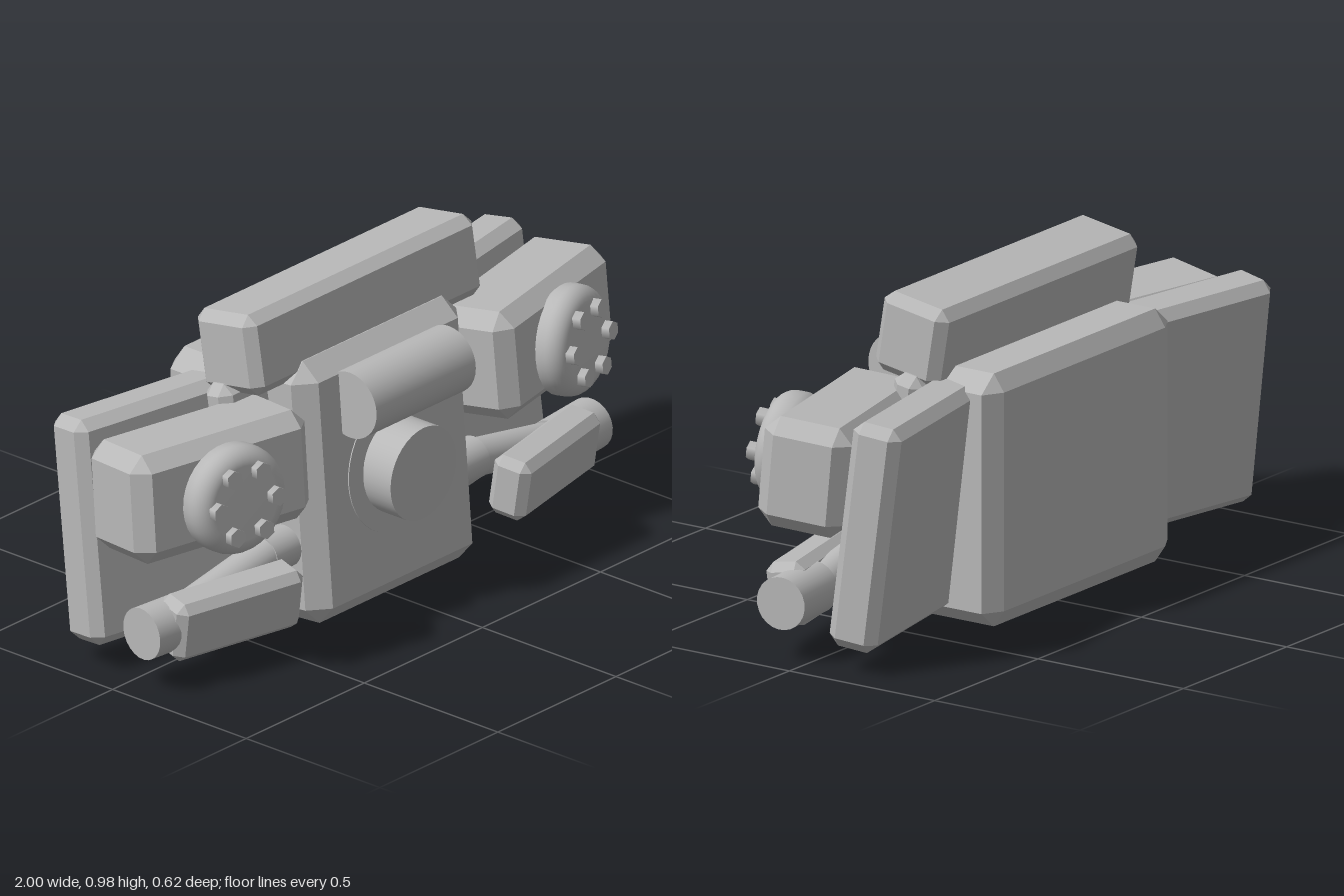
import * as THREE from 'three';
import { ConvexGeometry } from 'three/addons/geometries/ConvexGeometry.js';

const grey = new THREE.MeshStandardMaterial({ color: 0xb8b8b8 });
grey.name = 'plain grey';
const rad = THREE.MathUtils.degToRad;

// Box with every edge and corner cut; bevel can differ per axis
function chamferBox(w, h, d, bx, by = bx, bz = bx) {
  const pts = [];
  for (const x of [-1, 1]) for (const y of [-1, 1]) for (const z of [-1, 1]) {
    const X = w / 2, Y = h / 2, Z = d / 2;
    pts.push(
      new THREE.Vector3(x * X, y * (Y - by), z * (Z - bz)),
      new THREE.Vector3(x * (X - bx), y * Y, z * (Z - bz)),
      new THREE.Vector3(x * (X - bx), y * (Y - by), z * Z));
  }
  return new ConvexGeometry(pts);
}

function add(parent, name, geometry, x = 0, y = 0, z = 0, pitch = 0, yaw = 0) {
  const mesh = new THREE.Mesh(geometry, grey);
  mesh.name = name;
  mesh.position.set(x, y, z);
  mesh.rotation.set(rad(pitch), rad(yaw), 0, 'YXZ');
  parent.add(mesh);
  return mesh;
}

// Cylinder running between two points
function rod(parent, name, a, b, r, sides = 24) {
  const from = new THREE.Vector3(...a), to = new THREE.Vector3(...b);
  const mesh = add(parent, name, new THREE.CylinderGeometry(r, r, from.distanceTo(to), sides));
  mesh.position.copy(from).lerp(to, 0.5);
  mesh.quaternion.setFromUnitVectors(new THREE.Vector3(0, 1, 0), to.sub(from).normalize());
}

// Rounded dial with a ring of six hexagonal studs, facing local +z
function makeDial() {
  const dial = new THREE.Group();
  dial.name = 'dial';
  const profile = [new THREE.Vector2(0.145, -0.02), new THREE.Vector2(0.16, 0)];
  for (let i = 0; i <= 8; i++) {
    const a = (i / 8) * Math.PI / 2;
    profile.push(new THREE.Vector2(0.11 + 0.05 * Math.cos(a), 0.03 + 0.05 * Math.sin(a)));
  }
  profile.push(new THREE.Vector2(0, 0.08));
  add(dial, 'dialBody', new THREE.LatheGeometry(profile, 32), 0, 0, 0, 90);
  for (let i = 0; i < 6; i++) {
    const a = i * Math.PI / 3;
    add(dial, 'dialStud', new THREE.CylinderGeometry(0.028, 0.028, 0.05, 6),
      0.1 * Math.cos(a), 0.1 * Math.sin(a), 0.08, 90);
  }
  return dial;
}

export function createModel() {
  const model = new THREE.Group();
  model.name = 'armouredPack';

  // Central body
  add(model, 'backPack', chamferBox(0.9, 0.74, 0.29, 0.06, 0.05, 0.035), 0, 0.4, -0.16);
  add(model, 'frontPlate', chamferBox(0.7, 0.79, 0.23, 0.055), 0, 0.4, 0.06, -4.6);
  add(model, 'topBox', chamferBox(0.97, 0.24, 0.225, 0.03), 0, 0.845, -0.037, -9.5);
  add(model, 'shoulderBar', chamferBox(1.04, 0.12, 0.1, 0.03), 0, 0.695, -0.045, -9.5);

  // Front roll and round boss
  rod(model, 'frontRoll', [-0.21, 0.665, 0.19], [0.21, 0.665, 0.19], 0.1, 32);
  add(model, 'bossRing', new THREE.CylinderGeometry(0.2, 0.2, 0.02, 40), 0, 0.41, 0.168, 85.4);
  rod(model, 'frontBoss', [0, 0.41, 0.1], [0, 0.41, 0.28], 0.14, 36);

  // Mirrored side assemblies
  for (const s of [1, -1]) {
    add(model, 'backWing', chamferBox(0.57, 0.67, 0.15, 0.03), s * 0.66, 0.405, -0.155, -7, s * 10);

    const pod = new THREE.Group();
    pod.name = 'sidePod';
    pod.position.set(s * 0.68, 0.555, 0.045);
    pod.rotation.set(rad(-5), s * rad(12), 0, 'YXZ');
    add(pod, 'podBody', chamferBox(0.61, 0.325, 0.27, 0.045));
    const dial = makeDial();
    dial.position.set(0, -0.015, 0.135);
    pod.add(dial);
    model.add(pod);

    // Lower arm
    add(model, 'lowerBox', chamferBox(0.44, 0.185, 0.12, 0.025), s * 0.665, 0.175, 0.145, 8, s * 12);
    rod(model, 'innerJoint', [s * 0.33, 0.245, 0.07], [s * 0.45, 0.245, 0.07], 0.062);
    rod(model, 'armRod', [s * 0.42, 0.25, 0.075], [s * 0.82, 0.175, 0.07], 0.055);
    rod(model, 'outerCylinder', [s * 0.76, 0.175, 0.085], [s * 0.95, 0.175, 0.065], 0.077);
  }
  return model;
}
